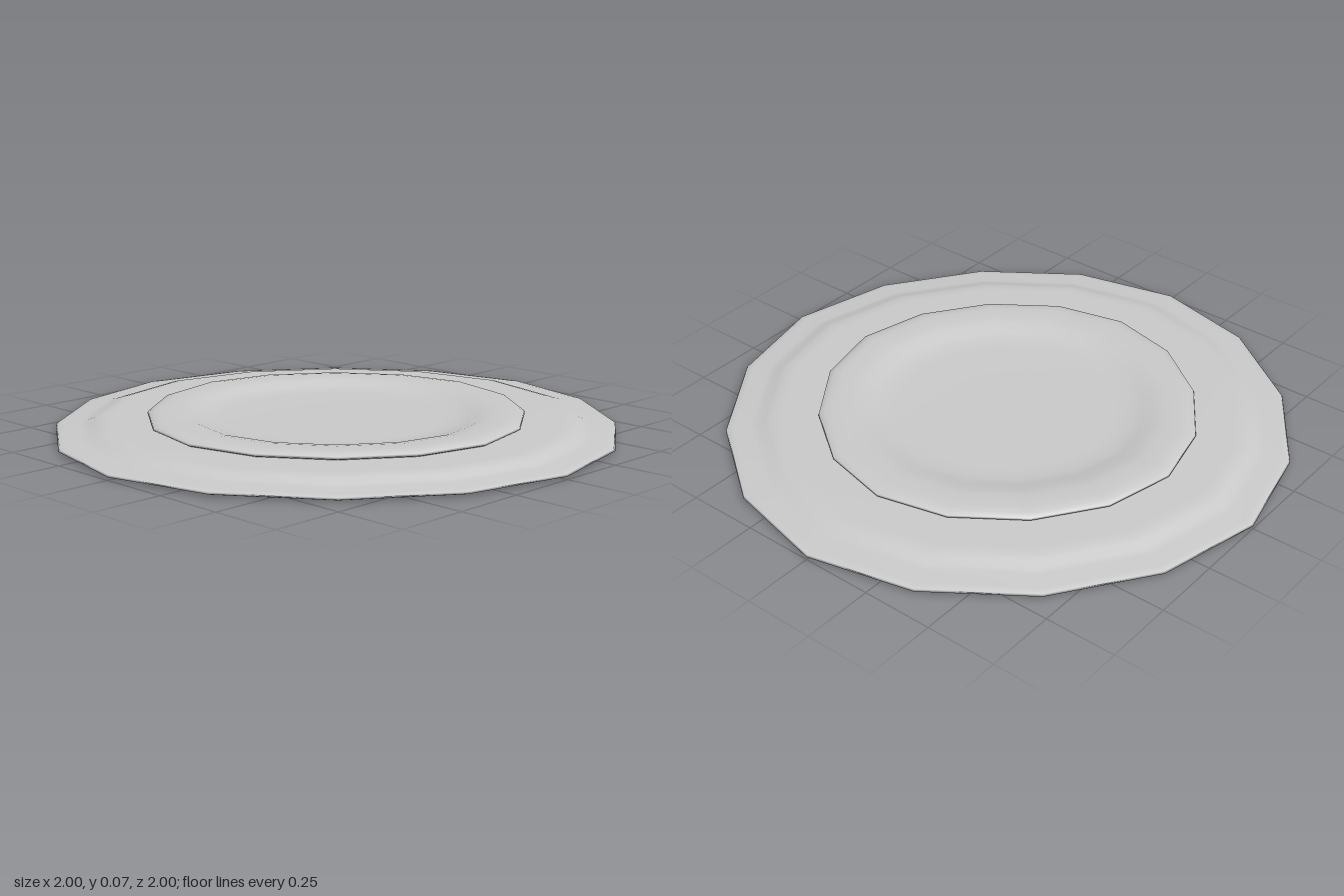
import * as THREE from 'three';

const SIDES = 16;

// Ring directions: four cubic curves with short handles, slightly tighter than a circle
function ringPoint(i) {
  const t = (i % 4) / 4, s = 1 - t;
  const a = s * s * s + 3 * s * s * t + 1.5 * s * t * t;
  const b = 1.5 * s * s * t + 3 * s * t * t + t * t * t;
  return new THREE.Vector2(b, a).rotateAround(new THREE.Vector2(), -Math.floor(i / 4) * Math.PI / 2);
}

// Turn a [radius, height] profile around y, then lay each column on the ring
function turned(name, profile, material) {
  const geometry = new THREE.LatheGeometry(profile.map(([r, y]) => new THREE.Vector2(r, y)), SIDES);
  const pos = geometry.attributes.position;
  for (let k = 0; k < pos.count; k++) {
    const [r] = profile[k % profile.length];
    const p = ringPoint(Math.floor(k / profile.length));
    pos.setX(k, r * p.x);
    pos.setZ(k, r * p.y);
  }
  const mesh = new THREE.Mesh(geometry, material);
  mesh.name = name;
  return mesh;
}

export function createModel() {
  const group = new THREE.Group();
  group.name = 'saucer';
  const material = new THREE.MeshStandardMaterial({ color: 0xcccccc, side: THREE.DoubleSide });

  // Flat underside
  group.add(turned('base', [[0, 0], [0.94, 0]], material));

  // Thin outer rim with a rounded step up to the shoulder
  group.add(turned('rim', [
    [0.94, 0], [0.98, 0.004], [1, 0.01], [0.995, 0.016], [0.97, 0.02],
    [0.91, 0.023], [0.885, 0.028], [0.86, 0.037], [0.835, 0.043],
    [0.8, 0.045], [0.66, 0.046],
  ], material));

  // Raised ring with a shallow well in the middle
  group.add(turned('well', [
    [0.66, 0.046], [0.672, 0.051], [0.67, 0.058], [0.65, 0.065], [0.62, 0.068],
    [0.56, 0.067], [0.52, 0.062], [0.48, 0.051], [0.44, 0.043],
    [0.38, 0.04], [0.2, 0.039], [0, 0.039],
  ], material));

  return group;
}
